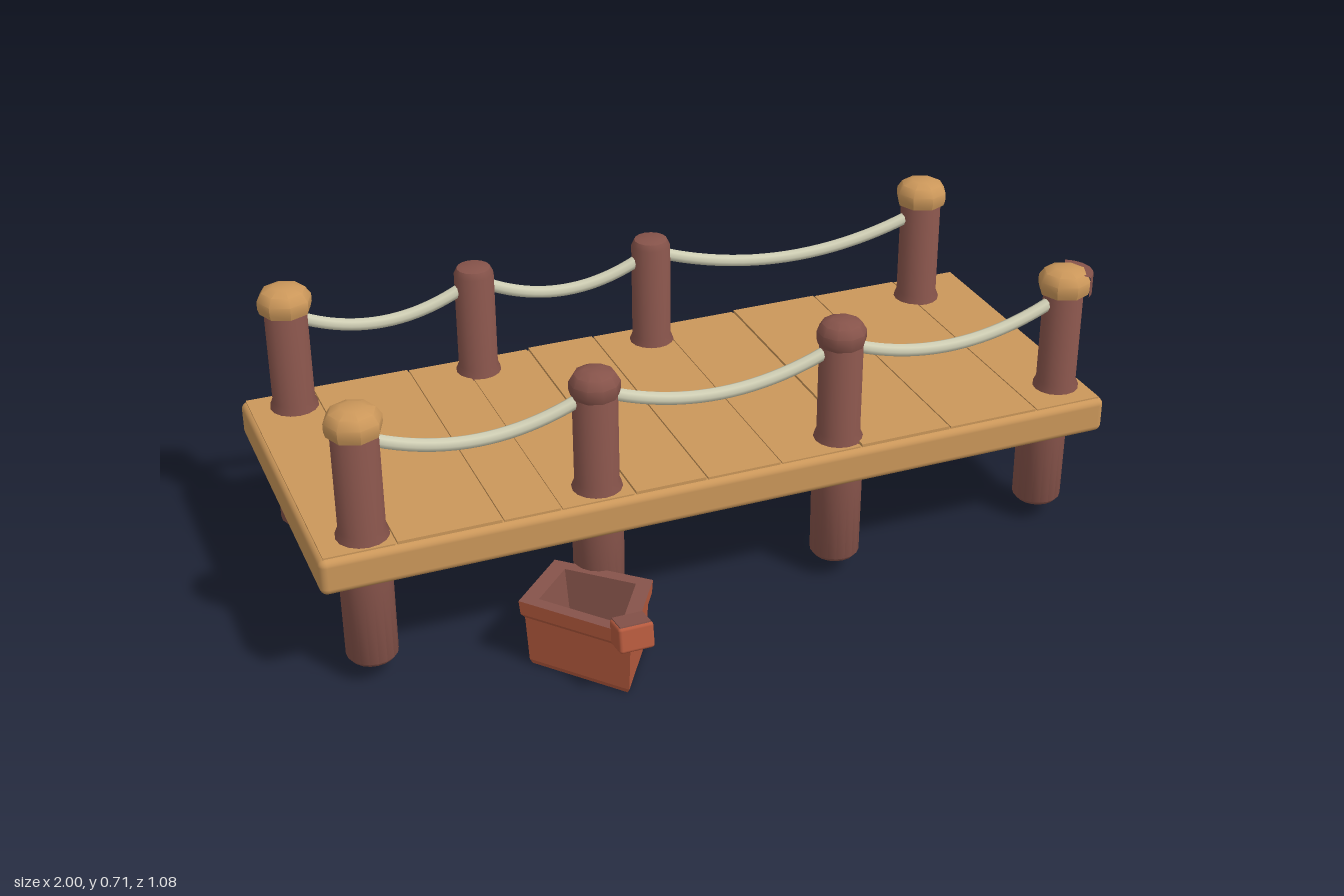
import * as THREE from 'three';
import { RoundedBoxGeometry } from 'three/addons/geometries/RoundedBoxGeometry.js';
import { toCreasedNormals } from 'three/addons/utils/BufferGeometryUtils.js';

const material = (name, color, side = THREE.FrontSide) => {
  const m = new THREE.MeshStandardMaterial({ color, side });
  m.name = name;
  return m;
};

// Smooth turned shape from [radius, height] pairs, listed bottom to top
function turned(points, sides) {
  const g = new THREE.LatheGeometry(points.map(([r, y]) => new THREE.Vector2(r, y)), sides);
  return toCreasedNormals(g, 0.7);
}

// Flat-sided skin through rings of [scale, height] around a plan outline
function loft(outline, cx, cz, rings) {
  const pos = [];
  const at = (i, [s, y]) => {
    const [x, z] = outline[i % outline.length];
    return [cx + (x - cx) * s, y, cz + (z - cz) * s];
  };
  for (let k = 0; k + 1 < rings.length; k++) {
    for (let i = 0; i < outline.length; i++) {
      const a = at(i, rings[k]), b = at(i + 1, rings[k]);
      const c = at(i + 1, rings[k + 1]), d = at(i, rings[k + 1]);
      pos.push(...a, ...b, ...c, ...a, ...c, ...d);
    }
  }
  const g = new THREE.BufferGeometry();
  g.setAttribute('position', new THREE.Float32BufferAttribute(pos, 3));
  g.computeVertexNormals();
  return g;
}

export function createModel() {
  const model = new THREE.Group();
  model.name = 'ropeRailDock';
  const plankTan = material('plankTan', 0xcb975a);
  const postBrown = material('postBrown', 0x86534a);
  const ropeCream = material('ropeCream', 0xcfceb4);
  const terracotta = material('terracotta', 0xb65a3e);

  const add = (parent, name, geometry, mat, x = 0, y = 0, z = 0) => {
    const mesh = new THREE.Mesh(geometry, mat);
    mesh.name = name;
    mesh.position.set(x, y, z);
    parent.add(mesh);
    return mesh;
  };

  // Deck slab with shallow boards on top
  const deck = new THREE.Group();
  deck.name = 'deck';
  model.add(deck);
  add(deck, 'deckSlab', new RoundedBoxGeometry(2, 0.092, 0.81, 3, 0.018), plankTan, 0, 0.325, -0.135);
  const seams = [-0.99, -0.82, -0.57, -0.43, -0.25, -0.07, 0.12, 0.33, 0.57, 0.81, 0.99];
  for (let i = 0; i + 1 < seams.length; i++) {
    const width = seams[i + 1] - seams[i] - 0.005;
    const top = 0.374 + 0.002 * ((i * 2) % 3);
    add(deck, 'board', new THREE.BoxGeometry(width, 0.012, 0.785), plankTan,
      (seams[i] + seams[i + 1]) / 2, top - 0.006, -0.135);
  }

  // Posts: x, z, upper radius, top height, cap kind
  const frontRow = [
    [-0.88, 0.19, 0.055, 0.70, 'tan'],
    [-0.32, 0.19, 0.053, 0.68, 'brown'],
    [0.30, 0.19, 0.053, 0.69, 'brown'],
    [0.92, 0.16, 0.05, 0.70, 'split'],
  ];
  const backRow = [
    [-0.88, -0.46, 0.053, 0.70, 'tan'],
    [-0.40, -0.47, 0.05, 0.665, 'plain'],
    [0.07, -0.46, 0.05, 0.665, 'plain'],
    [0.83, -0.43, 0.053, 0.715, 'tan'],
  ];
  const legProfile = [[0, 0.045], [0.052, 0.047], [0.061, 0.058], [0.062, 0.28], [0.062, 0.3]];

  function buildPost([x, z, r, top, kind]) {
    const post = new THREE.Group();
    post.name = 'post';
    post.position.set(x, 0, z);
    model.add(post);
    add(post, 'leg', turned(legProfile, 18), postBrown, x > 0.9 ? -0.02 : 0, 0, x > 0.9 ? -0.015 : 0);
    const end = kind === 'plain' ? top : top - 0.03;
    add(post, 'shaft', turned([[r + 0.01, 0.34], [r + 0.007, 0.378], [r, 0.395], [r, end - 0.02],
      [r - 0.008, end - 0.004], [r - 0.02, end], [0, end]], 16), postBrown);

    // Caps: rounded knobs wider than the shaft
    const w = kind === 'brown' ? 0.06 : 0.067;
    const knob = [[r - 0.01, top - 0.068], [w - 0.004, top - 0.064], [w, top - 0.05], [w, top - 0.03],
      [w * 0.8, top - 0.01], [w * 0.4, top], [0, top]];
    if (kind === 'tan') add(post, 'cap', turned(knob, 8), plankTan);
    if (kind === 'brown') add(post, 'cap', turned(knob, 10), postBrown);
    if (kind === 'split') {
      add(post, 'cap', turned(knob.map(([a, b]) => [a * 0.97, b]), 8), plankTan);
      // Brown outer face of the end cap
      const face = new THREE.CylinderGeometry(0.067, 0.067, 0.054, 6, 1, false, 0.55, 2.1);
      add(post, 'capSide', face, postBrown, 0.002, 0.662, 0);
    }
  }
  [...frontRow, ...backRow].forEach(buildPost);

  // Extra support under the back edge
  add(model, 'supportLeg', turned(legProfile, 18), postBrown, 0.28, 0, -0.43);

  // Sagging ropes between neighbouring posts
  for (const row of [frontRow, backRow]) {
    for (let i = 0; i + 1 < row.length; i++) {
      const [x0, z0] = row[i], [x1, z1] = row[i + 1];
      const sag = 0.07 + 0.02 * (x1 - x0 - 0.5);
      const points = [];
      for (let k = 0; k <= 8; k++) {
        const t = k / 8;
        points.push(new THREE.Vector3(x0 + (x1 - x0) * t,
          0.627 - sag * 4 * t * (1 - t), z0 + (z1 - z0) * t));
      }
      add(model, 'rope', new THREE.TubeGeometry(new THREE.CatmullRomCurve3(points), 24, 0.016, 8), ropeCream);
    }
  }

  // Four-sided tapered bucket, open at the top
  const bucket = new THREE.Group();
  bucket.name = 'bucket';
  model.add(bucket);
  const plan = [[-0.555, 0.295], [-0.36, 0.525], [-0.237, 0.33], [-0.42, 0.16]];
  add(bucket, 'bucketBody', loft(plan, -0.39, 0.33,
    [[0, 0.002], [0.84, 0], [0.88, 0.012], [0.92, 0.13], [0.98, 0.14], [1, 0.176]]), terracotta);
  add(bucket, 'bucketInside', loft(plan, -0.39, 0.33,
    [[1, 0.176], [0.72, 0.176], [0.6, 0.05], [0, 0.05]]), postBrown);

  // Raised lip on the front corner
  const lip = add(bucket, 'bucketLip', new RoundedBoxGeometry(0.085, 0.064, 0.066, 2, 0.008),
    terracotta, -0.355, 0.168, 0.503);
  lip.rotation.x = -0.15;
  const lipTop = add(bucket, 'lipTop', new THREE.BoxGeometry(0.074, 0.004, 0.056), postBrown, -0.355, 0.2, 0.498);
  lipTop.rotation.x = -0.15;

  return model;
}
